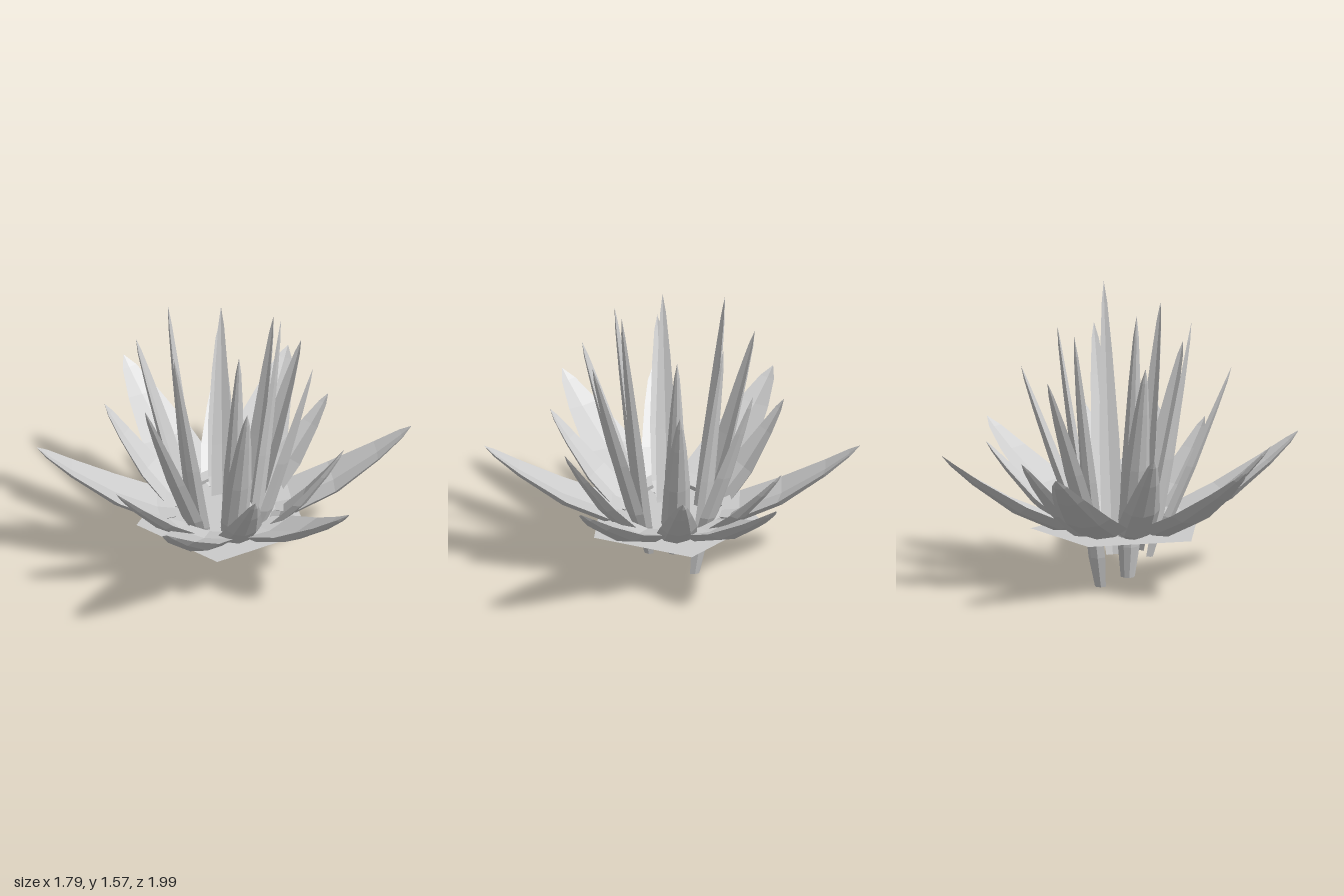
import * as THREE from 'three';

const material = new THREE.MeshStandardMaterial({ color: 0xcccccc, flatShading: true, side: THREE.DoubleSide });

// Half cross-section of a leaf: [across, outward]; keeled below, channelled above
const SECTION = [[-1, 0], [-0.62, 0.7], [0, 1], [0.62, 0.7], [1, 0], [0, 0.35]];

// Leaf outline from base to tip: [fraction of length, fraction of full width]
const OUTLINE = [[0, 0.65], [0.12, 1], [0.42, 0.92], [0.74, 0.55], [0.92, 0.26], [1, 0]];

// Leaf in the y-z plane from base to tip (Vector2: reach, height); bend > 1 curves it upward
function leafGeometry(base, tip, width, depth, bend) {
  const path = OUTLINE.map(([f]) => new THREE.Vector2(
    THREE.MathUtils.lerp(base.x, tip.x, f), THREE.MathUtils.lerp(base.y, tip.y, f ** bend)));
  const last = path.length - 1, n = SECTION.length;
  const pos = [], index = [];
  path.forEach((p, i) => {
    const t = path[Math.min(i + 1, last)].clone().sub(path[Math.max(i - 1, 0)]).normalize();
    const size = OUTLINE[i][1];
    for (const [a, b] of SECTION) {
      const out = b * depth * size;
      pos.push(a * width * size, p.y - t.x * out, p.x + t.y * out);
    }
  });
  for (let i = 0; i < last; i++) {
    for (let j = 0; j < n; j++) {
      const a = i * n + j, b = i * n + (j + 1) % n;
      index.push(a, b, b + n, a, b + n, a + n);
    }
  }
  // Base cap, fanned from the channel
  for (let j = 0; j < n - 2; j++) index.push(n - 1, j + 1, j);
  const geometry = new THREE.BufferGeometry();
  geometry.setAttribute('position', new THREE.Float32BufferAttribute(pos, 3));
  geometry.setIndex(index);
  geometry.computeVertexNormals();
  return geometry;
}

// Slight irregularity of the six leaves: azimuth in degrees, reach and height factors
const EVEN = Array(6).fill(1);
const OUTER = { azimuth: [5, 64, 120.5, 183, 235, 297], reach: EVEN, height: EVEN };
const UPRIGHT = {
  azimuth: [36, 92, 154, 206, 270, 337],
  reach: [1.02, 0.98, 1.06, 1.01, 1, 1.16],
  height: [1.01, 1.08, 0.95, 0.95, 1.04, 0.98],
};

// Four whorls, from the spreading outside to the upright heart
const WHORLS = [
  { name: 'outerLeaf', spread: OUTER, base: [0.26, 0.36], tip: [1, 0.76], width: 0.165, depth: 0.07, bend: 1.4 },
  { name: 'middleLeaf', spread: UPRIGHT, base: [0.24, 0.32], tip: [0.69, 0.785], width: 0.108, depth: 0.055, bend: 1.25 },
  { name: 'innerLeaf', spread: UPRIGHT, base: [0.19, 0.28], tip: [0.51, 1.22], width: 0.076, depth: 0.05, bend: 1 },
  { name: 'heartLeaf', spread: UPRIGHT, base: [0.14, 0.16], tip: [0.325, 1.46], width: 0.06, depth: 0.048, bend: 1,
    drop: [0, 0.03, 0, 0.15, 0.09, 0] },
];

export function createModel() {
  const plant = new THREE.Group();
  plant.name = 'succulentPlant';

  // Flat five-sided patch of soil
  const soil = new THREE.Mesh(new THREE.CircleGeometry(0.48, 5), material);
  soil.name = 'soil';
  soil.rotation.x = -Math.PI / 2;
  soil.position.y = 0.295;
  plant.add(soil);

  for (const { name, spread, base, tip, width, depth, bend, drop } of WHORLS) {
    const whorl = new THREE.Group();
    whorl.name = name + 'Whorl';
    spread.azimuth.forEach((degrees, i) => {
      const start = new THREE.Vector2(base[0], base[1] - (drop ? drop[i] : 0));
      const end = new THREE.Vector2(tip[0] * spread.reach[i], tip[1] * spread.height[i]);
      const leaf = new THREE.Mesh(leafGeometry(start, end, width, depth, bend), material);
      leaf.name = name;
      leaf.rotation.y = THREE.MathUtils.degToRad(degrees);
      whorl.add(leaf);
    });
    plant.add(whorl);
  }
  return plant;
}
